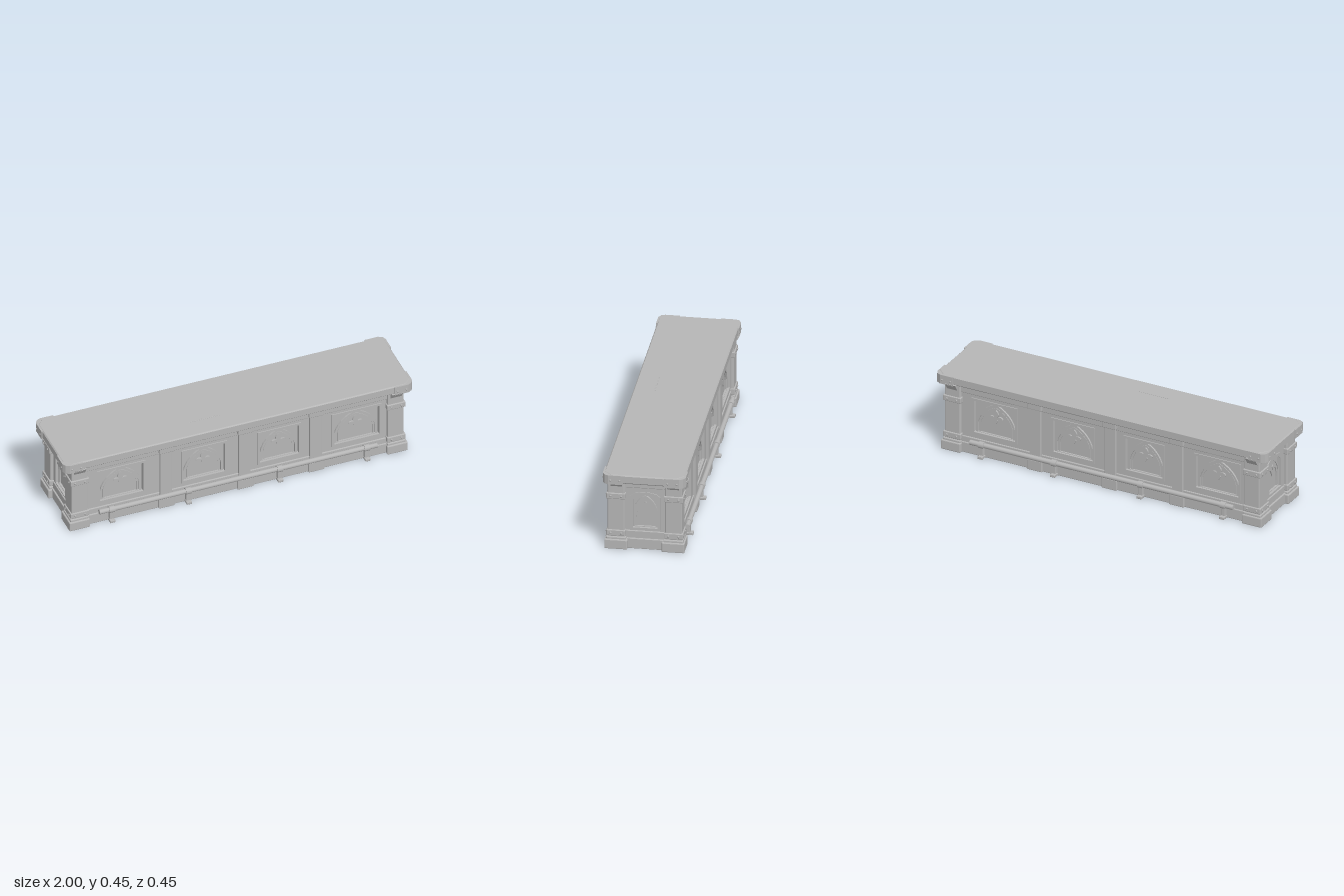
import * as THREE from 'three';
import { RoundedBoxGeometry } from 'three/addons/geometries/RoundedBoxGeometry.js';

export function createModel() {
  const root = new THREE.Group();
  root.name = 'counter';
  const stone = new THREE.MeshStandardMaterial({ color: 0xb6b6b6 });
  stone.name = 'grey';

  function add(parent, name, geo, x = 0, y = 0, z = 0, ry = 0) {
    const m = new THREE.Mesh(geo, stone);
    m.name = name;
    m.position.set(x, y, z);
    m.rotation.y = ry;
    parent.add(m);
    return m;
  }
  // Chamfered block given by its limits
  function block(parent, name, x0, x1, y0, y1, z0, z1, r = 0.004) {
    const g = new RoundedBoxGeometry(x1 - x0, y1 - y0, z1 - z0, 1, r);
    g.computeVertexNormals();
    return add(parent, name, g, (x0 + x1) / 2, (y0 + y1) / 2, (z0 + z1) / 2);
  }
  const poly = (pts) => new THREE.Shape(pts.map((p) => new THREE.Vector2(p[0], p[1])));
  const rect = (cx, w, y0, y1) => poly([[cx - w / 2, y0], [cx + w / 2, y0], [cx + w / 2, y1], [cx - w / 2, y1]]);
  const plate = (shape, depth) => new THREE.ExtrudeGeometry(shape, { depth, bevelEnabled: false, curveSegments: 6 });

  // Pointed arch outline
  function arch(w, y0, spring, apex) {
    const h = w / 2, s = new THREE.Shape();
    s.moveTo(-h, y0);
    s.lineTo(h, y0);
    s.lineTo(h, spring);
    s.quadraticCurveTo(h * 0.85, (spring + apex * 2) / 3, 0, apex);
    s.quadraticCurveTo(-h * 0.85, (spring + apex * 2) / 3, -h, spring);
    s.closePath();
    return s;
  }
  function archRing(w, y0, spring, apex, t) {
    const s = arch(w, y0, spring, apex);
    s.holes.push(arch(w - 2 * t, y0 + t * 0.5, spring, apex - t * 1.2));
    return s;
  }
  // Three-leaved flower relief, centred on its knot
  function flower() {
    const s = new THREE.Shape();
    s.moveTo(0, -0.032);
    s.lineTo(0.011, -0.012);
    s.lineTo(0.008, 0);
    s.quadraticCurveTo(0.03, -0.018, 0.042, 0.004);
    s.quadraticCurveTo(0.034, 0.022, 0.01, 0.012);
    s.quadraticCurveTo(0.026, 0.03, 0, 0.052);
    s.quadraticCurveTo(-0.026, 0.03, -0.01, 0.012);
    s.quadraticCurveTo(-0.034, 0.022, -0.042, 0.004);
    s.quadraticCurveTo(-0.03, -0.018, -0.008, 0);
    s.lineTo(-0.011, -0.012);
    s.closePath();
    return s;
  }

  // Worktop with cut corners
  function cutRect(hx, hz, c) {
    return poly([[-hx + c, -hz], [hx - c, -hz], [hx, -hz + c], [hx, hz - c],
      [hx - c, hz], [-hx + c, hz], [-hx, hz - c], [-hx, -hz + c]]);
  }
  const topGeo = new THREE.ExtrudeGeometry(cutRect(0.982, 0.21, 0.035),
    { depth: 0.038, bevelEnabled: true, bevelThickness: 0.006, bevelSize: 0.006, bevelSegments: 1 });
  topGeo.rotateX(-Math.PI / 2);
  add(root, 'worktop', topGeo, 0, 0.403, 0);
  block(root, 'worktopScratch', -0.24, -0.06, 0.444, 0.449, 0.1, 0.106, 0.001);

  // Inner body
  block(root, 'core', -0.908, 0.908, 0.002, 0.4, -0.162, 0.162, 0.002);

  // Long side: framed panels, pilasters, skirting and foot rail
  function longSide(name, ry) {
    const side = new THREE.Group();
    side.name = name;
    side.rotation.y = ry;
    root.add(side);
    const panels = [[-0.655, 0.26], [-0.185, 0.25], [0.243, 0.235], [0.682, 0.27]];
    const wall = rect(0, 1.72, 0.05, 0.4);
    panels.forEach(([x, w]) => wall.holes.push(rect(x, w, 0.125, 0.325)));
    add(side, 'panelWall', plate(wall, 0.024), 0, 0, 0.156);
    panels.forEach(([x, w]) => {
      const frame = rect(0, w + 0.012, 0.118, 0.332);
      frame.holes.push(rect(0, w - 0.014, 0.132, 0.318));
      add(side, 'panelFrame', plate(frame, 0.026), x, 0, 0.159);
      add(side, 'outerArch', plate(archRing(w - 0.025, 0.128, 0.19, 0.318, 0.013), 0.012), x, 0, 0.16);
      add(side, 'innerArch', plate(archRing(w - 0.062, 0.128, 0.19, 0.296, 0.008), 0.007), x, 0, 0.16);
      add(side, 'flower', plate(flower(), 0.01), x, 0.23, 0.16);
    });
    block(side, 'cornice', -0.86, 0.86, 0.352, 0.4, 0.15, 0.188);
    block(side, 'lowerRail', -0.86, 0.86, 0.05, 0.095, 0.15, 0.186);
    block(side, 'skirting', -0.86, 0.86, 0, 0.062, 0.15, 0.192);
    [-0.405, 0.043, 0.447].forEach((x) => {
      block(side, 'pilaster', x - 0.034, x + 0.034, 0.06, 0.37, 0.15, 0.194);
      block(side, 'pilasterCapital', x - 0.042, x + 0.042, 0.362, 0.4, 0.15, 0.205);
      block(side, 'pilasterFoot', x - 0.045, x + 0.045, 0, 0.062, 0.15, 0.204);
    });
    // Foot rail on brackets
    const rail = new THREE.CylinderGeometry(0.014, 0.014, 1.58, 10);
    rail.rotateZ(Math.PI / 2);
    add(side, 'footRail', rail, 0, 0.076, 0.203);
    [-0.72, -0.285, 0.235, 0.73].forEach((x) => {
      const clamp = new THREE.CylinderGeometry(0.019, 0.019, 0.03, 10);
      clamp.rotateZ(Math.PI / 2);
      add(side, 'railClamp', clamp, x, 0.076, 0.203);
      block(side, 'railBracket', x - 0.012, x + 0.012, 0, 0.075, 0.185, 0.21, 0.003);
      block(side, 'bracketFoot', x - 0.015, x + 0.015, 0, 0.016, 0.185, 0.227, 0.003);
    });
  }
  longSide('frontSide', 0);
  longSide('backSide', Math.PI);

  // Short end: one tall panel with tracery
  function endSide(name, ry) {
    const end = new THREE.Group();
    end.name = name;
    end.rotation.y = ry;
    root.add(end);
    const outline = (h, y0, y1) => poly([[-h, y0], [h, y0], [h, y1 - 0.025], [h - 0.025, y1 - 0.008],
      [0.02, y1], [-0.02, y1], [-h + 0.025, y1 - 0.008], [-h, y1 - 0.025]]);
    const wall = rect(0, 0.24, 0.05, 0.4);
    wall.holes.push(outline(0.075, 0.118, 0.322));
    add(end, 'endWall', plate(wall, 0.024), 0, 0, 0.902);
    const frame = outline(0.083, 0.114, 0.328);
    frame.holes.push(outline(0.066, 0.12, 0.31));
    add(end, 'endFrame', plate(frame, 0.027), 0, 0, 0.904);
    add(end, 'endArch', plate(archRing(0.128, 0.121, 0.215, 0.304, 0.008), 0.014), 0, 0, 0.905);
    // Twin lancet opening
    const tracery = arch(0.112, 0.121, 0.215, 0.295);
    const lancets = new THREE.Path();
    lancets.moveTo(-0.049, 0.124);
    lancets.lineTo(0.049, 0.124);
    lancets.quadraticCurveTo(0.052, 0.22, 0.03, 0.245);
    lancets.quadraticCurveTo(0.012, 0.238, 0, 0.197);
    lancets.quadraticCurveTo(-0.012, 0.238, -0.03, 0.245);
    lancets.quadraticCurveTo(-0.052, 0.22, -0.049, 0.124);
    tracery.holes.push(lancets);
    add(end, 'tracery', plate(tracery, 0.009), 0, 0, 0.905);
    add(end, 'traceryDrop', plate(poly([[0, 0.238], [0.008, 0.26], [0, 0.272], [-0.008, 0.26]]), 0.014), 0, 0, 0.905);
    block(end, 'endCornice', -0.12, 0.12, 0.352, 0.4, 0.89, 0.934);
    block(end, 'endLowerRail', -0.12, 0.12, 0.05, 0.102, 0.89, 0.932);
    block(end, 'endSkirting', -0.12, 0.12, 0, 0.06, 0.89, 0.94);
  }
  endSide('leftEnd', Math.PI / 2);
  endSide('rightEnd', -Math.PI / 2);

  // Corner posts with plinths, riveted bands, corbels and worktop caps
  const corbelGeo = plate(poly([[0, 0], [0.027, 0.04], [0, 0.04]]), 0.062).translate(0, 0, -0.031);
  const rivetGeo = new THREE.SphereGeometry(0.0065, 6, 4);
  for (const sx of [1, -1]) for (const sz of [1, -1]) {
    const post = new THREE.Group();
    post.name = 'cornerPost';
    root.add(post);
    const b = (name, x0, x1, y0, y1, z0, z1, r) => block(post, name,
      Math.min(sx * x0, sx * x1), Math.max(sx * x0, sx * x1), y0, y1,
      Math.min(sz * z0, sz * z1), Math.max(sz * z0, sz * z1), r);
    b('post', 0.852, 0.945, 0.04, 0.4, 0.108, 0.199, 0.006);
    b('plinth', 0.845, 0.962, 0, 0.055, 0.092, 0.214, 0.005);
    b('plinthStep', 0.849, 0.953, 0.05, 0.068, 0.1, 0.206, 0.005);
    for (const y of [0.09, 0.305]) {
      b('band', 0.847, 0.952, y - 0.017, y + 0.017, 0.103, 0.206, 0.004);
      for (const d of [-0.028, 0.028]) {
        add(post, 'rivet', rivetGeo, sx * 0.952, y, sz * (0.154 + d));
        add(post, 'rivet', rivetGeo, sx * (0.9 + d), y, sz * 0.206);
      }
    }
    add(post, 'endCorbel', corbelGeo, sx * 0.944, 0.36, sz * 0.152, sx > 0 ? 0 : Math.PI);
    add(post, 'sideCorbel', corbelGeo, sx * 0.9, 0.36, sz * 0.198, -sz * Math.PI / 2);

    // Cap wrapping the worktop corner
    const pts = [[0.885, 0.11], [0.994, 0.11], [0.994, 0.19], [0.984, 0.21], [0.962, 0.222], [0.885, 0.222]]
      .map(([x, z]) => [sx * x, -sz * z]);
    const cap = plate(poly(pts), 0.052);
    cap.rotateX(-Math.PI / 2);
    add(post, 'worktopCap', cap, 0, 0.393, 0);
    for (const d of [0, 0.05]) {
      add(post, 'capRivet', rivetGeo, sx * 0.993, 0.416, sz * (0.128 + d));
      add(post, 'capRivet', rivetGeo, sx * (0.9 + d), 0.416, sz * 0.221);
    }
  }
  return root;
}
